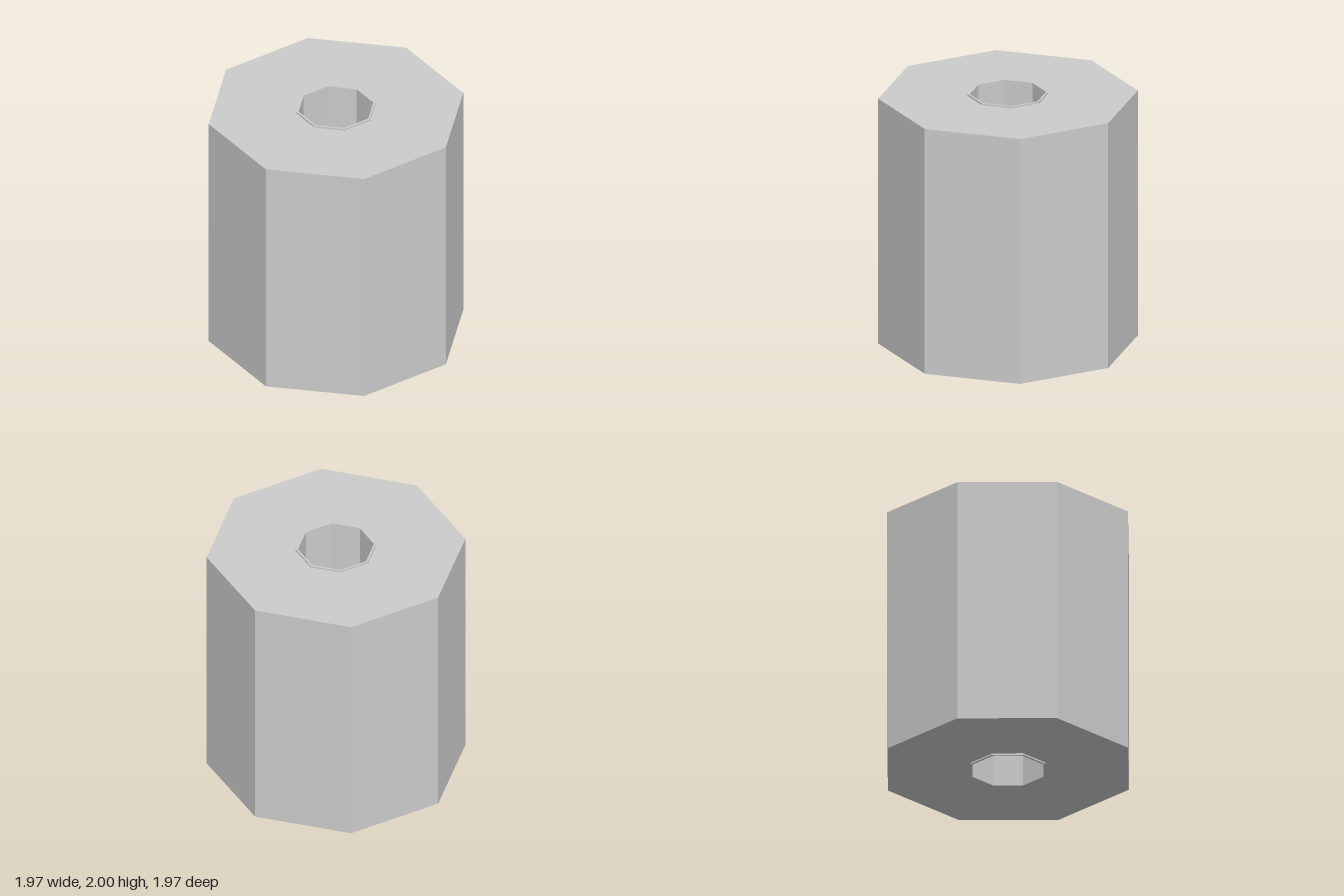
import * as THREE from 'three';

const SIDES = 8;

// Octagonal ring turned from a profile of [radius, height] points
function ring(name, profile) {
  const points = profile.map(([r, y]) => new THREE.Vector2(r, y));
  const material = new THREE.MeshStandardMaterial({ color: 0xcccccc, flatShading: true });
  const mesh = new THREE.Mesh(new THREE.LatheGeometry(points, SIDES), material);
  mesh.name = name;
  return mesh;
}

export function createModel() {
  const group = new THREE.Group();
  group.name = 'roll';

  const outer = 0.987, tubeOuter = 0.307, tubeInner = 0.29;
  const bottom = 0.013, top = 1.987;

  // Wound body; its bore is closed off by the core tube
  group.add(ring('rollBody', [
    [tubeOuter, bottom], [outer, bottom], [outer, top], [tubeOuter, top],
  ]));

  // Thin hollow core, standing slightly proud at both ends
  group.add(ring('coreTube', [
    [tubeInner, 0], [tubeOuter, 0], [tubeOuter, 2], [tubeInner, 2], [tubeInner, 0],
  ]));

  return group;
}
